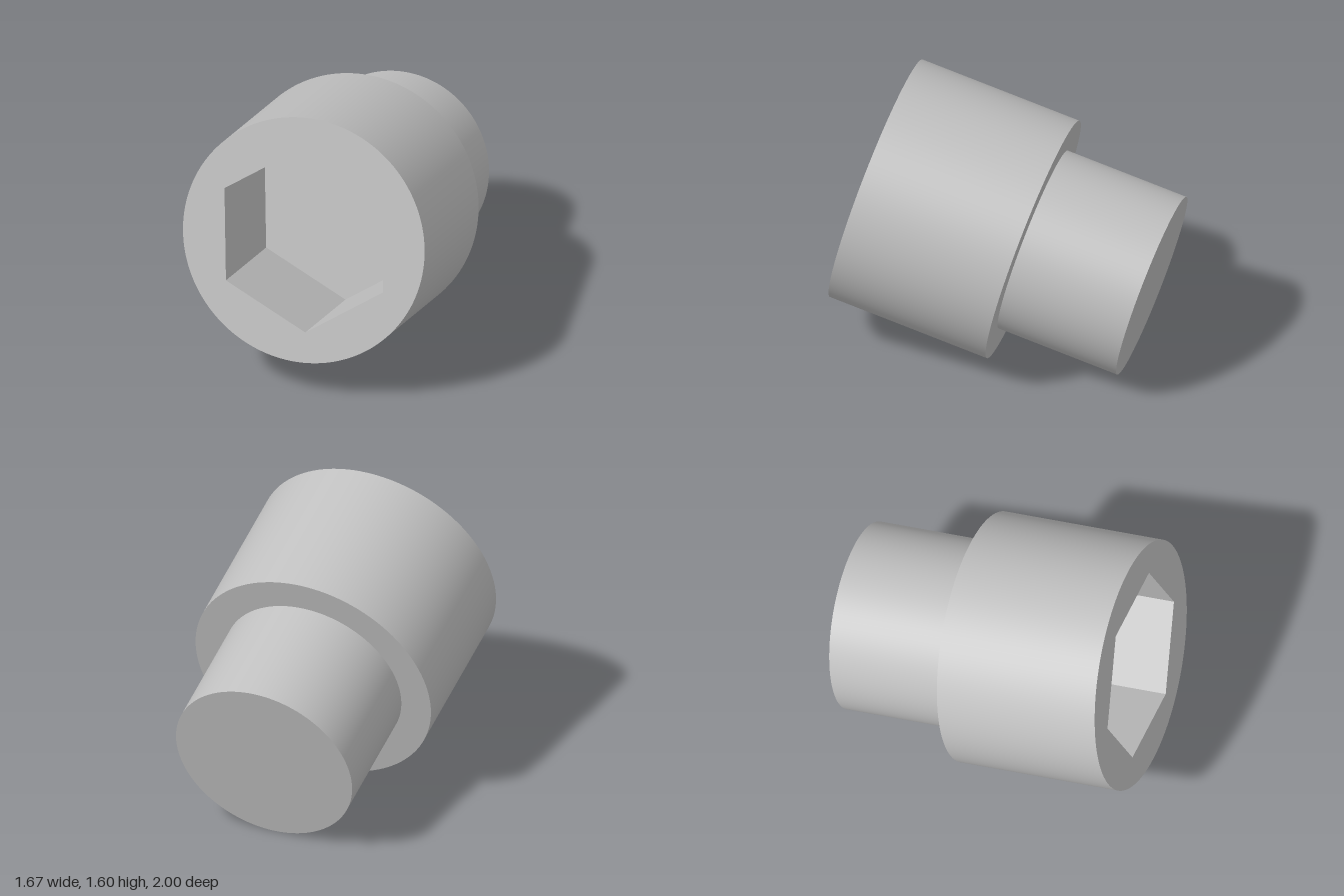
import * as THREE from 'three';
import { mergeGeometries } from 'three/addons/utils/BufferGeometryUtils.js';

const BODY_R = 0.708, SHANK_R = 0.53, HEX_R = 0.532;
const BODY_LEN = 0.94, TOTAL_LEN = 1.65, HEX_DEPTH = 0.7;
const SEGMENTS = 128;

export function createModel() {
  const group = new THREE.Group();
  group.name = 'hexSocketAdapter';
  const steel = new THREE.MeshStandardMaterial({ color: 0xc0c0c0 });
  steel.name = 'plain grey';

  const add = (name, geometry, z = 0) => {
    const mesh = new THREE.Mesh(geometry, steel);
    mesh.name = name;
    mesh.position.z = z;
    group.add(mesh);
  };
  // Open round wall along z, from z0 back to z1
  const addWall = (name, r, z0, z1) => add(name,
    new THREE.CylinderGeometry(r, r, z0 - z1, SEGMENTS, 1, true).rotateX(Math.PI / 2), (z0 + z1) / 2);

  // Front face with hexagonal opening, one corner towards local +y
  const face = new THREE.Shape().absarc(0, 0, BODY_R, 0, Math.PI * 2, false);
  const corners = Array.from({ length: 6 }, (_, i) => {
    const a = Math.PI / 2 + i * Math.PI / 3;
    return new THREE.Vector2(HEX_R * Math.cos(a), HEX_R * Math.sin(a));
  });
  face.holes.push(new THREE.Path(corners));
  add('frontFace', new THREE.ShapeGeometry(face, SEGMENTS));

  // Six inward-facing socket walls and the socket floor
  const walls = [];
  for (let i = 0; i < 6; i++) {
    walls.push(new THREE.PlaneGeometry(HEX_DEPTH, HEX_R)
      .rotateY(-Math.PI / 2)
      .translate(HEX_R * Math.cos(Math.PI / 6), 0, -HEX_DEPTH / 2)
      .rotateZ(i * Math.PI / 3));
  }
  add('socketWalls', mergeGeometries(walls));
  add('socketFloor', new THREE.ShapeGeometry(new THREE.Shape(corners)), -HEX_DEPTH);

  // Wide body, rear shoulder, narrower shank and its end
  addWall('bodyWall', BODY_R, 0, -BODY_LEN);
  add('shoulder', new THREE.RingGeometry(SHANK_R, BODY_R, SEGMENTS).rotateY(Math.PI), -BODY_LEN);
  addWall('shankWall', SHANK_R, -BODY_LEN, -TOTAL_LEN);
  add('shankEnd', new THREE.CircleGeometry(SHANK_R, SEGMENTS).rotateY(Math.PI), -TOTAL_LEN);

  // Tilt: z along the tool axis, y towards a hexagon corner
  const axis = new THREE.Vector3(0.295, 0.2435, 0.924).normalize();
  const side = new THREE.Vector3(-0.09, 0.513, -0.106).cross(axis).normalize();
  const up = axis.clone().cross(side);
  group.quaternion.setFromRotationMatrix(new THREE.Matrix4().makeBasis(side, up, axis));
  group.position.set(0.155, 0.917, 0.729);

  const root = new THREE.Group();
  root.name = 'model';
  root.add(group);
  return root;
}
